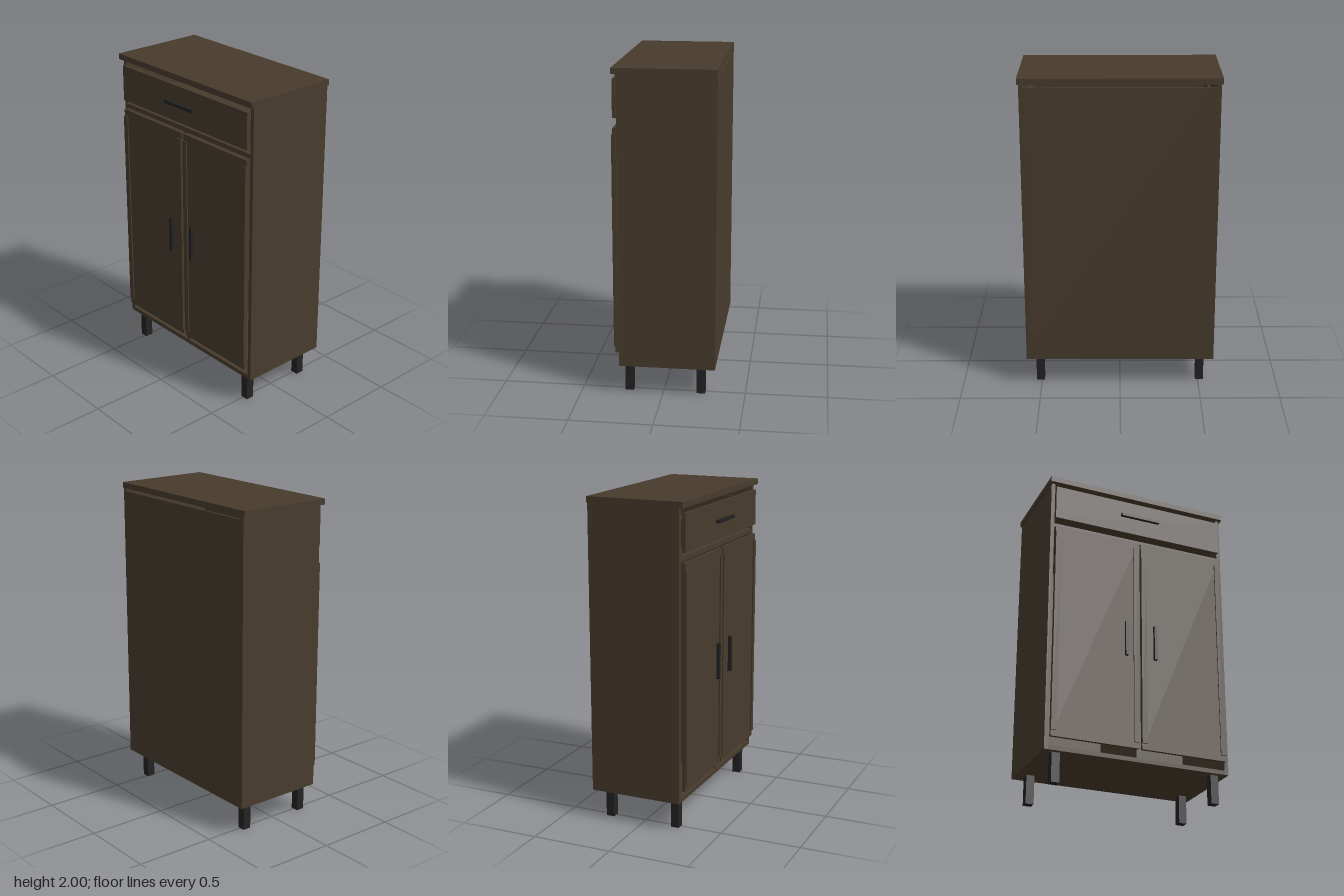
import * as THREE from 'three';

export function createModel() {
  const cabinet = new THREE.Group();
  cabinet.name = 'cabinet';
  const wood = new THREE.MeshStandardMaterial({ color: 0x483b2d });
  wood.name = 'dark brown wood';
  const metal = new THREE.MeshStandardMaterial({ color: 0x222222 });
  metal.name = 'black metal';

  // Box given by its min and max on each axis
  function box(name, material, [x0, x1], [y0, y1], [z0, z1], parent = cabinet) {
    const mesh = new THREE.Mesh(new THREE.BoxGeometry(x1 - x0, y1 - y0, z1 - z0), material);
    mesh.position.set((x0 + x1) / 2, (y0 + y1) / 2, (z0 + z1) / 2);
    mesh.name = name;
    parent.add(mesh);
  }
  // Span mirrored to the given side of x = 0
  const side = (s, a, b) => (s > 0 ? [a, b] : [-b, -a]);

  // Carcass, with a narrow slot left open under the top
  const inner = [-0.567, 0.567];
  box('top', wood, [-0.603, 0.603], [1.964, 2], [-0.32, 0.291]);
  box('bottomPanel', wood, inner, [0.18, 0.207], [-0.32, 0.264]);
  box('backPanel', wood, inner, [0.207, 1.946], [-0.32, -0.305]);
  box('shelf', wood, inner, [1.65, 1.677], [-0.305, 0.264]);
  box('divider', wood, [-0.014, 0.014], [0.207, 1.65], [-0.305, 0.26]);

  // Drawer: front, open tray and pull
  const drawer = new THREE.Group();
  drawer.name = 'drawer';
  cabinet.add(drawer);
  box('drawerFront', wood, [-0.567, 0.567], [1.706, 1.932], [0.272, 0.291], drawer);
  box('drawerBottom', wood, [-0.53, 0.53], [1.726, 1.74], [-0.26, 0.272], drawer);
  box('drawerBack', wood, [-0.53, 0.53], [1.74, 1.886], [-0.26, -0.245], drawer);
  box('drawerHandle', metal, [-0.13, 0.13], [1.812, 1.831], [0.299, 0.32], drawer);

  for (const s of [1, -1]) {
    const label = s > 0 ? 'left' : 'right';
    box(label + 'Side', wood, side(s, 0.567, 0.592), [0.18, 1.964], [-0.32, 0.264]);
    box(label + 'DrawerSide', wood, side(s, 0.53, 0.545), [1.726, 1.886], [-0.26, 0.272], drawer);

    // Door with slightly raised stiles and a vertical pull
    const door = new THREE.Group();
    door.name = label + 'Door';
    cabinet.add(door);
    box('doorPanel', wood, side(s, 0.009, 0.565), [0.255, 1.646], [0.272, 0.291], door);
    box('innerStile', wood, side(s, 0.009, 0.043), [0.292, 1.604], [0.291, 0.299], door);
    box('outerStile', wood, side(s, 0.53, 0.565), [0.292, 1.604], [0.291, 0.299], door);
    box('doorHandle', metal, side(s, 0.086, 0.105), [0.838, 1.065], [0.299, 0.32], door);

    // Square legs
    box(label + 'FrontLeg', metal, side(s, 0.484, 0.535), [0, 0.18], [0.184, 0.236]);
    box(label + 'BackLeg', metal, side(s, 0.484, 0.535), [0, 0.18], [-0.256, -0.204]);
  }
  return cabinet;
}
